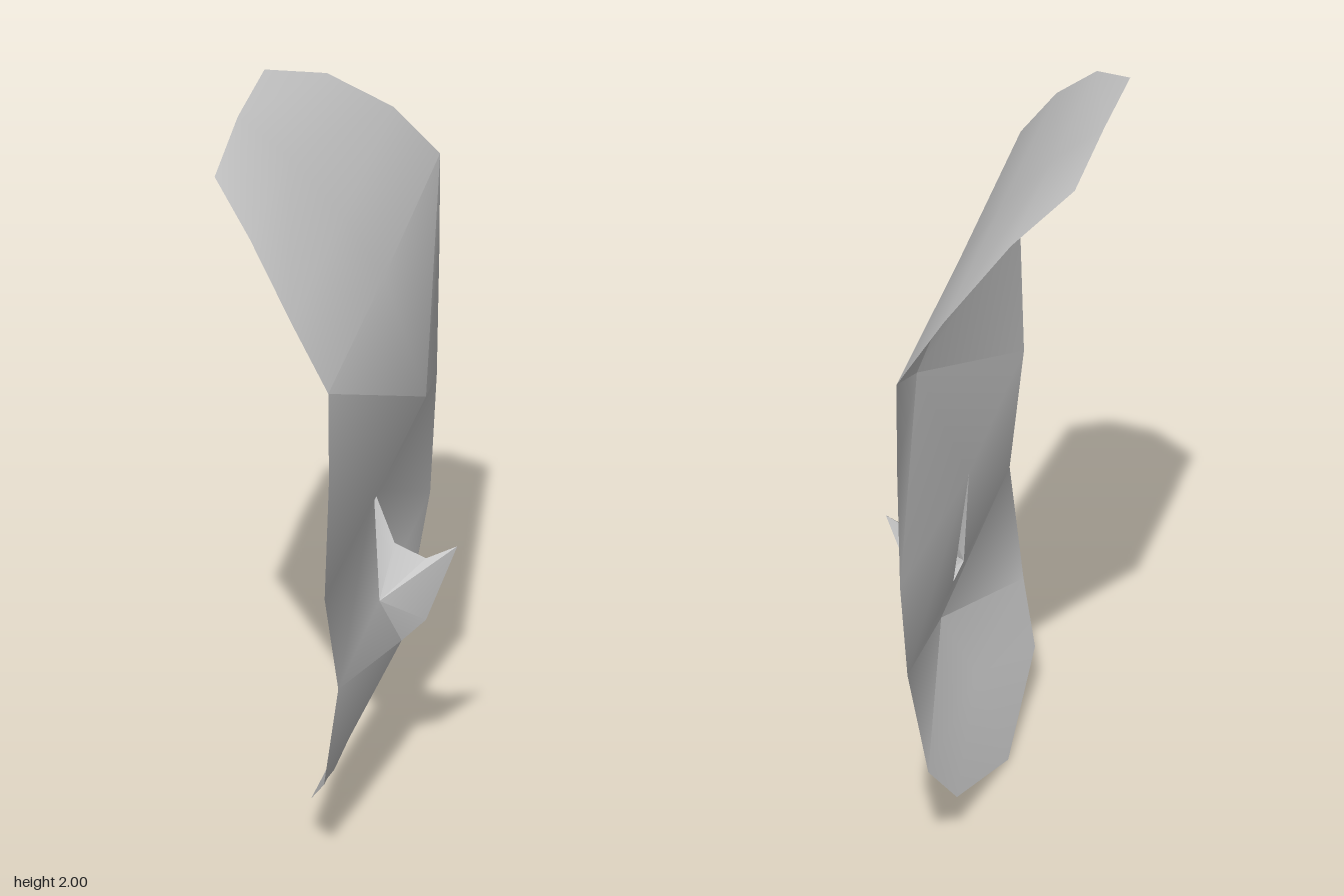
import * as THREE from 'three';
import { toCreasedNormals } from 'three/addons/utils/BufferGeometryUtils.js';

// Named points [x, y, z] on the centre line; the mask faces +x
const centre = {
  c0: [-0.32, 2, 0], c1: [-0.175, 1.89, 0], c2: [-0.02, 1.72, 0], c3: [0.1, 1.54, 0],
  brow: [0.22, 1.18, 0], noseTop: [0.07, 0.88, 0], noseBase: [0.15, 0.42, 0],
  chin: [0.05, 0.25, 0], chinTip: [-0.045, 0, -0.01],
  ridge: [0.13, 0.72, 0], valley: [0.22, 0.68, 0], tip: [0.31, 0.725, 0], low: [0.22, 0.49, 0],
};

// Rim and nostril points for one side (s = 1 or -1)
function sidePoints(s) {
  return {
    e0: [-0.315, 1.98, 0.375 * s], e1: [-0.175, 1.89, 0.58 * s], e2: [-0.02, 1.72, 0.76 * s],
    e3: [0.1, 1.55, 0.84 * s], e4: [0.1, 1.275, 0.83 * s], e5: [s > 0 ? 0.08 : 0.1, 0.89, 0.79 * s],
    e6: [0.1, 0.57, 0.69 * s], e7: [0.05, 0.25, 0.643 * s],
    e8: s > 0 ? [-0.02, 0.125, 0.47] : [0, 0.105, -0.49],
    nostril: [0.1, 0.57, 0.072 * s],
  };
}

const sheetFaces = [
  'c0 e0 e1', 'c0 e1 c1', 'c1 e1 e2', 'c1 e2 c2', 'c2 e2 e3', 'c2 e3 c3',
  'c3 e3 brow', 'e3 e4 brow', 'brow e4 e5', 'brow e5 noseTop',
  'noseTop e5 e6', 'noseTop e6 nostril', 'nostril e6 noseBase',
  'noseBase e6 e7', 'noseBase e7 chin', 'chin e7 e8', 'chin e8 chinTip',
];
const noseFaces = ['noseTop nostril ridge', 'ridge nostril valley', 'low nostril noseBase'];
const pointedNose = [...noseFaces, 'valley nostril tip', 'tip nostril low'];
const plainNose = [...noseFaces, 'valley nostril low'];

// Expands face names to corners, reversing the order on the mirrored side
function expand(faces, s) {
  const points = { ...centre, ...sidePoints(s) };
  return faces.flatMap((face) => {
    const names = face.split(' ');
    if (s < 0) names.reverse();
    return names.flatMap((n) => points[n]);
  });
}

function surface(name, corners, material) {
  const geometry = new THREE.BufferGeometry();
  geometry.setAttribute('position', new THREE.Float32BufferAttribute(corners, 3));
  const mesh = new THREE.Mesh(toCreasedNormals(geometry, 0.6), material);
  mesh.name = name;
  return mesh;
}

export function createModel() {
  const group = new THREE.Group();
  group.name = 'mask';
  const grey = new THREE.MeshStandardMaterial({ color: 0xcccccc, side: THREE.DoubleSide });
  grey.name = 'light grey';

  // Curved face sheet, closed behind the lower half of the nose
  const plug = [...sidePoints(1).nostril, ...centre.noseBase, ...sidePoints(-1).nostril];
  group.add(surface('faceSheet', [...expand(sheetFaces, 1), ...expand(sheetFaces, -1), ...plug], grey));

  // Hollow nose, its upturned tip carried by the left half
  group.add(surface('nose', [...expand(pointedNose, 1), ...expand(plainNose, -1)], grey));
  return group;
}
